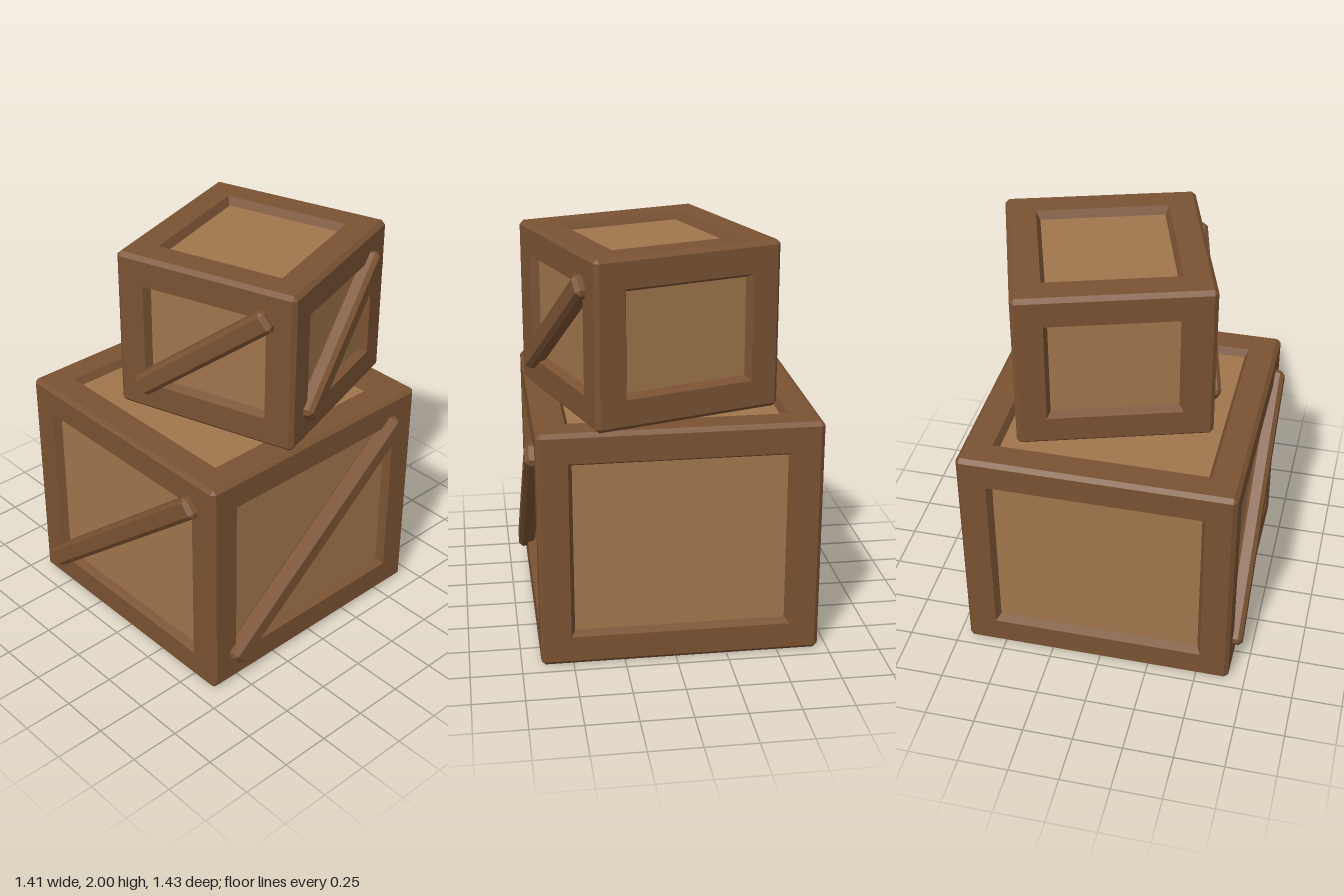
import * as THREE from 'three';

const BEVEL = 0.02;   // chamfer on every outer edge
const MARGIN = 0.147; // width of the frame boards
const SLOPE = 0.02;   // inward slope of the opening walls
const DEPTH = 0.04;   // how far the panels are set back

const frameWood = new THREE.MeshStandardMaterial({ color: 0x7a5233, flatShading: true });
const panelWood = new THREE.MeshStandardMaterial({ color: 0xa0754c, flatShading: true });

// Box with chamfered edges; with a margin, every face gets a sloped opening instead of a solid centre.
function chamferedBox(size, margin = 0) {
  const half = size.map((s) => s / 2);
  const positions = [];
  const signs = [-1, 1];

  // Adds a convex polygon, wound so that it faces along "out"
  const addPolygon = (points, out) => {
    const e1 = points[1].clone().sub(points[0]);
    const e2 = points[2].clone().sub(points[0]);
    const ordered = e1.cross(e2).dot(out) < 0 ? [...points].reverse() : points;
    for (let i = 1; i < ordered.length - 1; i++) {
      for (const p of [ordered[0], ordered[i], ordered[i + 1]]) positions.push(p.x, p.y, p.z);
    }
  };
  // Point from coordinates on axis a and the two axes that follow it
  const point = (a, n, u, v) => {
    const c = [0, 0, 0];
    c[a] = n;
    c[(a + 1) % 3] = u;
    c[(a + 2) % 3] = v;
    return new THREE.Vector3(...c);
  };

  for (let a = 0; a < 3; a++) {
    const hn = half[a], hu = half[(a + 1) % 3], hv = half[(a + 2) % 3];
    for (const s of signs) {
      // Face: solid, or a border ring followed by the sloped opening walls
      const out = point(a, s, 0, 0);
      const ring = (inset, drop) => [[-1, -1], [1, -1], [1, 1], [-1, 1]].map(
        ([u, v]) => point(a, s * (hn - drop), u * (hu - inset), v * (hv - inset)));
      if (margin) {
        const rings = [ring(BEVEL, 0), ring(margin, 0), ring(margin + SLOPE, DEPTH)];
        for (let r = 0; r < 2; r++) {
          for (let i = 0; i < 4; i++) {
            const j = (i + 1) % 4;
            addPolygon([rings[r][i], rings[r][j], rings[r + 1][j], rings[r + 1][i]], out);
          }
        }
      } else {
        addPolygon(ring(BEVEL, 0), out);
      }
      // Chamfers on the edges between this face and the next axis
      for (const t of signs) {
        const v = hv - BEVEL;
        addPolygon([
          point(a, s * hn, t * (hu - BEVEL), -v), point(a, s * hn, t * (hu - BEVEL), v),
          point(a, s * (hn - BEVEL), t * hu, v), point(a, s * (hn - BEVEL), t * hu, -v),
        ], point(a, s, t, 0));
      }
    }
  }
  // Corner triangles
  for (const x of signs) for (const y of signs) for (const z of signs) {
    const sign = new THREE.Vector3(x, y, z);
    const corner = [0, 1, 2].map((a) =>
      new THREE.Vector3(...half.map((h, i) => (i === a ? h : h - BEVEL))).multiply(sign));
    addPolygon(corner, sign);
  }

  const geometry = new THREE.BufferGeometry();
  geometry.setAttribute('position', new THREE.Float32BufferAttribute(positions, 3));
  geometry.computeVertexNormals();
  return geometry;
}

function addMesh(parent, name, geometry, material) {
  const mesh = new THREE.Mesh(geometry, material);
  mesh.name = name;
  parent.add(mesh);
  return mesh;
}

// Crate standing on its own y = 0
function makeCrate(name, width, height) {
  const crate = new THREE.Group();
  crate.name = name;
  const body = new THREE.Group();
  body.name = 'body';
  body.position.y = height / 2;
  crate.add(body);

  addMesh(body, 'frame', chamferedBox([width, height, width], MARGIN), frameWood);

  // Inner box whose faces show as the recessed panels
  const inner = [width, height, width].map((s) => s - 2 * DEPTH);
  addMesh(body, 'panels', new THREE.BoxGeometry(...inner), panelWood);

  // Diagonal braces on the front and on the left (+x) side
  const openW = width - 2 * MARGIN, openH = height - 2 * MARGIN;
  const braceGeometry = chamferedBox([Math.hypot(openW, openH) + 0.05, 0.11, 0.092]);
  ['frontBrace', 'leftBrace'].forEach((braceName, i) => {
    const side = new THREE.Group();
    side.name = braceName + 'Side';
    side.rotation.y = i * Math.PI / 2;
    body.add(side);
    const brace = addMesh(side, braceName, braceGeometry, frameWood);
    brace.position.z = width / 2;
    brace.rotation.z = Math.atan2(openH, openW);
  });
  return crate;
}

export function createModel() {
  const model = new THREE.Group();
  model.name = 'stackedCrates';

  const large = makeCrate('largeCrate', 1.36, 1.185);
  large.position.set(-0.024, 0, -0.014);

  const small = makeCrate('smallCrate', 0.948, 0.815);
  small.position.set(0.068, 1.185, -0.127);
  small.rotation.y = 0.31;

  model.add(large, small);
  return model;
}
